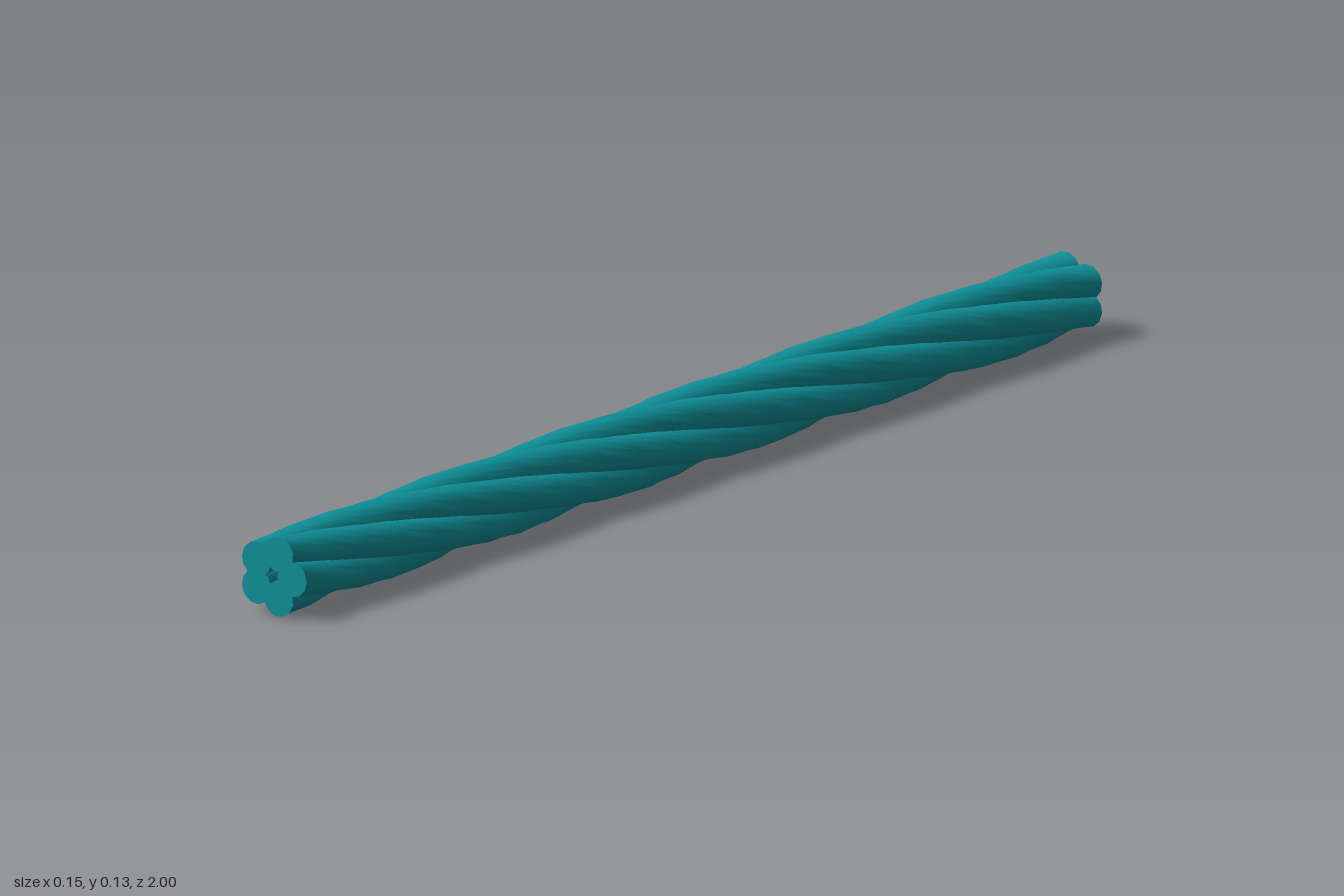
import * as THREE from 'three';
import { toCreasedNormals } from 'three/addons/utils/BufferGeometryUtils.js';

const LENGTH = 2;
const STRANDS = 5;
const STRAND_RADIUS = 0.0275;
const LAY_RADIUS = 0.0365;                       // rope axis to strand centre
const TWIST_PER_UNIT = (1.3 * 2 * Math.PI) / LENGTH;
const LEAN = -0.011;                             // sideways drift of the axis along z
const AXIS_HEIGHT = 0.064;

// One capped strand: a straight rod set off the axis, then twisted along z
function strandGeometry(startAngle) {
  const geo = new THREE.CylinderGeometry(STRAND_RADIUS, STRAND_RADIUS, LENGTH, 12, 24);
  geo.rotateX(Math.PI / 2);
  geo.translate(LAY_RADIUS, 0, 0);
  const pos = geo.attributes.position;
  for (let i = 0; i < pos.count; i++) {
    const x = pos.getX(i), y = pos.getY(i), z = pos.getZ(i);
    const a = startAngle + (z - LENGTH / 2) * TWIST_PER_UNIT;
    const c = Math.cos(a), s = Math.sin(a);
    pos.setXYZ(i, x * c - y * s + LEAN * z, x * s + y * c + AXIS_HEIGHT, z);
  }
  return toCreasedNormals(geo, 1.0);
}

export function createModel() {
  const rope = new THREE.Group();
  rope.name = 'rope';
  const material = new THREE.MeshStandardMaterial({ color: 0x0e9099 });

  // Five strands laid around a hollow, star-shaped core
  for (let i = 0; i < STRANDS; i++) {
    const strand = new THREE.Mesh(strandGeometry((i / STRANDS) * Math.PI * 2), material);
    strand.name = `strand${i + 1}`;
    rope.add(strand);
  }
  return rope;
}
